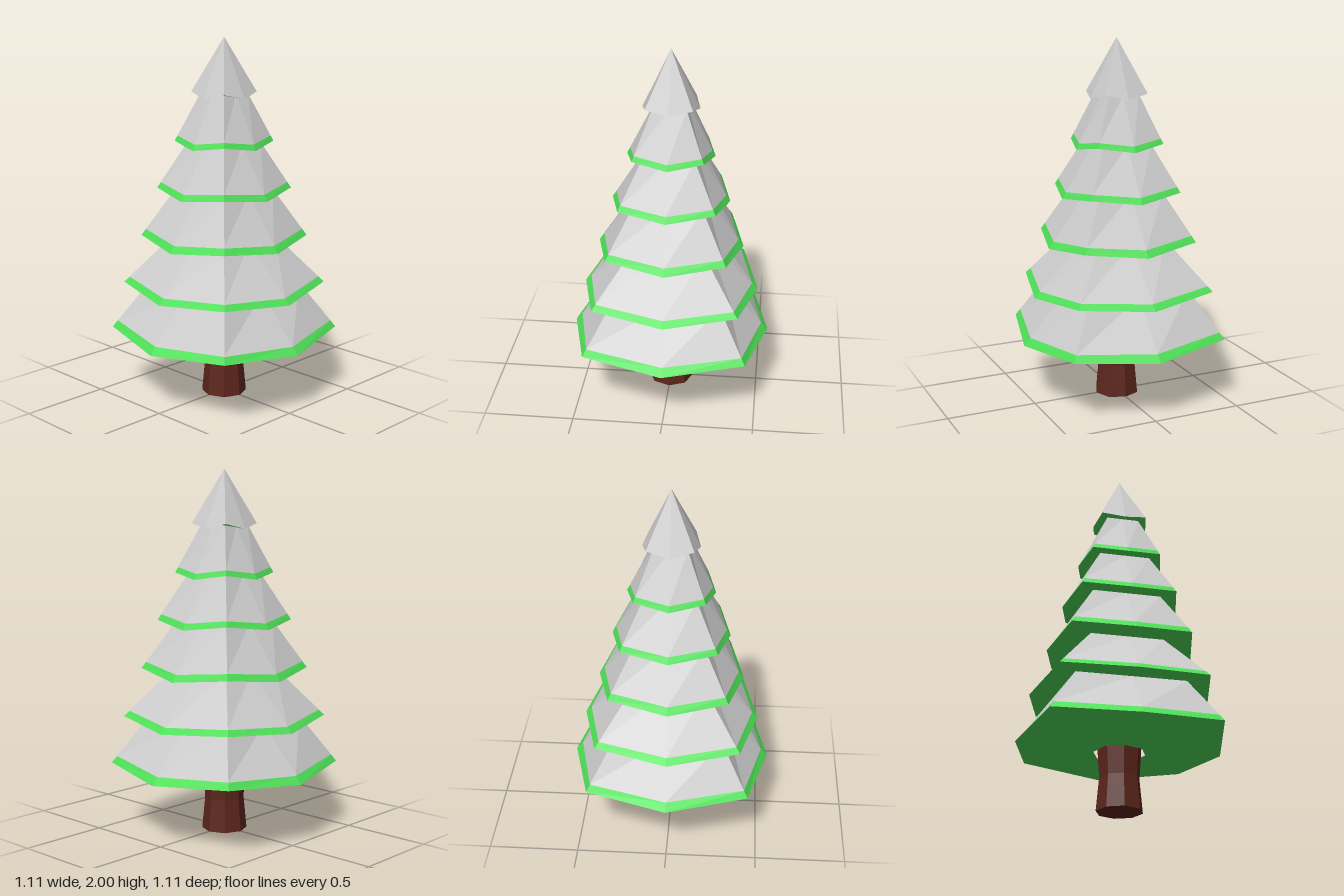
import * as THREE from 'three';

const snow = new THREE.MeshStandardMaterial({ color: 0xcccccc, flatShading: true });
const green = new THREE.MeshStandardMaterial({ color: 0x4fdf58, flatShading: true });
const bark = new THREE.MeshStandardMaterial({ color: 0x5c261c, flatShading: true });

// Eight points around y: side middles at distance a, square corners at (d, d)
function ring(a, d, ya, yd) {
  return Array.from({ length: 8 }, (_, i) => {
    const t = (i * Math.PI) / 4;
    const [r, y] = i % 2 ? [d * Math.SQRT2, yd] : [a, ya];
    return new THREE.Vector3(r * Math.sin(t), y, r * Math.cos(t));
  });
}

const mix = (p, q, t) => p.map((v, i) => v.clone().lerp(q[i], t));

// Surface through successive rings, facing outward when they rise
function skin(name, rings, material) {
  const points = [];
  for (let k = 0; k + 1 < rings.length; k++) {
    const [lo, hi] = [rings[k], rings[k + 1]];
    for (let i = 0; i < 8; i++) {
      const j = (i + 1) % 8;
      for (const tri of [[lo[i], lo[j], hi[j]], [lo[i], hi[j], hi[i]]]) {
        const [a, b, c] = tri;
        if (!a.equals(b) && !b.equals(c) && !c.equals(a)) points.push(a, b, c);
      }
    }
  }
  const geometry = new THREE.BufferGeometry().setFromPoints(points);
  geometry.computeVertexNormals();
  const mesh = new THREE.Mesh(geometry, material);
  mesh.name = name;
  return mesh;
}

export function createModel() {
  const tree = new THREE.Group();
  tree.name = 'snowyFirTree';

  // Waisted eight-sided trunk
  const profile = [[0, 0], [0.125, 0], [0.108, 0.18], [0.12, 0.36]];
  const trunk = new THREE.Mesh(
    new THREE.LatheGeometry(profile.map((p) => new THREE.Vector2(...p)), 8), bark);
  trunk.name = 'trunk';
  tree.add(trunk);

  // Rim: side reach, corner reach, side height, corner height; then top half-width, top height, band share
  const tiers = [
    [0.555, 0.445, 0.345, 0.378, 0.296, 0.64, 0.14],
    [0.49, 0.395, 0.61, 0.642, 0.2, 0.91, 0.11],
    [0.403, 0.324, 0.877, 0.912, 0.188, 1.175, 0.13],
    [0.323, 0.26, 1.148, 1.18, 0.14, 1.435, 0.12],
    [0.238, 0.19, 1.412, 1.44, 0.09, 1.7, 0.11],
    [0.154, 0.125, 1.68, 1.708, 0, 2, 0],
  ];

  let inner = ring(0.14, 0.1, 0.318, 0.318);
  tiers.forEach(([a, d, ya, yd, top, yTop, share], n) => {
    const tier = new THREE.Group();
    tier.name = `branchTier${n + 1}`;
    const rim = ring(a, d, ya, yd);
    const crown = ring(top, top, yTop, yTop);
    const snowLine = mix(rim, crown, share);
    tier.add(skin('underside', [inner, rim], green));
    if (share > 0) tier.add(skin('greenEdge', [rim, snowLine], green));
    tier.add(skin('snowCover', [snowLine, crown], snow));
    tree.add(tier);
    inner = crown; // the next underside starts where this tier ends
  });

  return tree;
}
